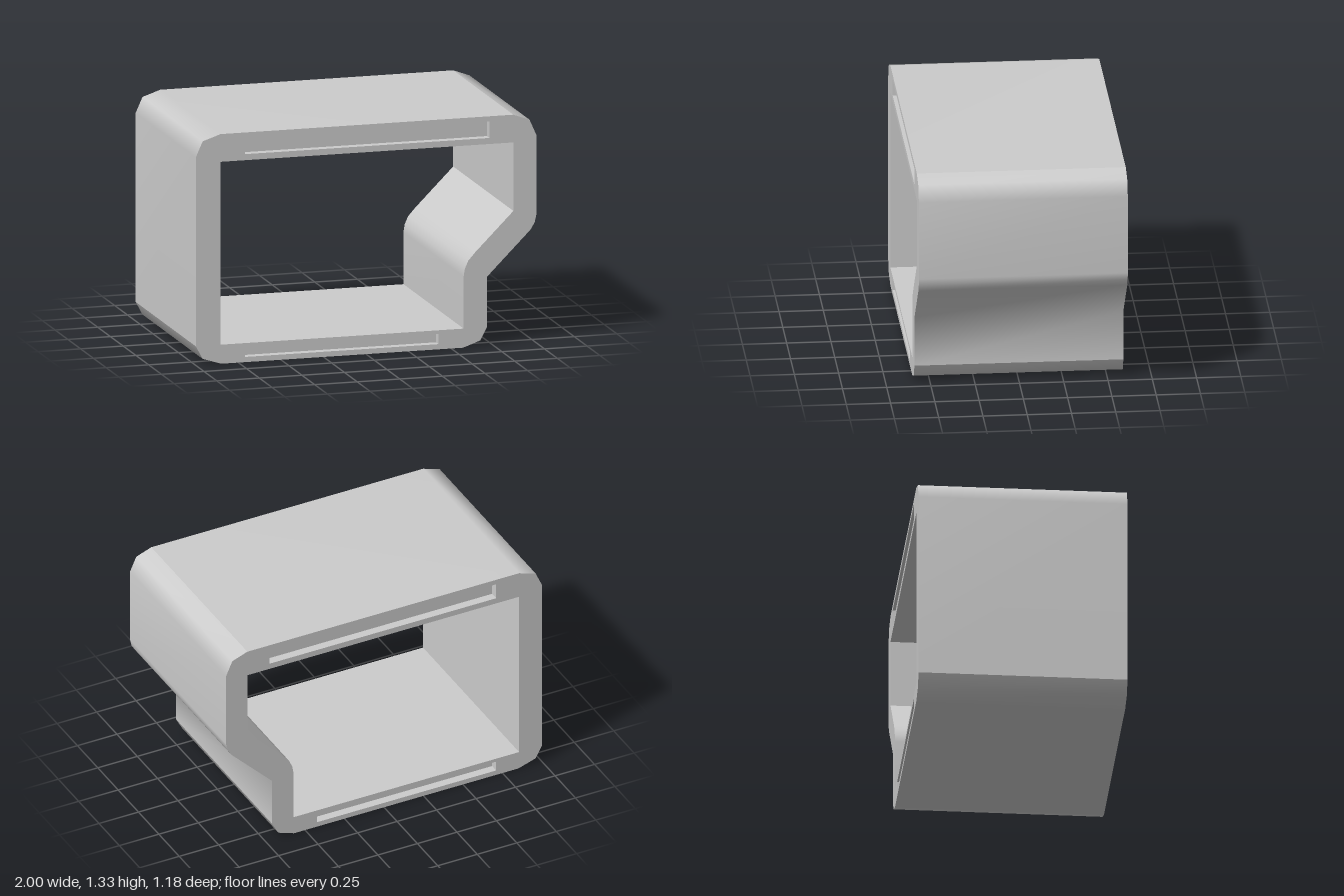
import * as THREE from 'three';
import { mergeGeometries } from 'three/addons/utils/BufferGeometryUtils.js';

const HALF = 0.59;        // half depth of the sleeve
const FLOOR = 0.54;       // z of the slot floors

// Outer outline, counter-clockwise, cut into runs that are shaded smoothly
const outerRuns = [
  [[-0.85, 0], [0.57, 0]],
  [[0.57, 0], [0.67, 0.035], [0.71, 0.11]],
  [[0.71, 0.11], [0.71, 0.4], [0.965, 0.655], [0.99, 0.695], [1, 0.74], [1, 1.2], [0.96, 1.29], [0.865, 1.325]],
  [[0.865, 1.325], [-0.855, 1.325], [-0.96, 1.29], [-1, 1.2], [-1, 0.11]],
  [[-1, 0.11], [-0.96, 0.035], [-0.85, 0]],
];

// Opening outline, clockwise so its walls face inwards
const innerRuns = [
  [[-0.855, 0.11], [-0.855, 1.165]],
  [[-0.855, 1.165], [0.865, 1.165]],
  [[0.865, 1.165], [0.865, 0.77]],
  [[0.865, 0.77], [0.64, 0.545], [0.6, 0.5], [0.58, 0.455], [0.573, 0.41], [0.573, 0.11]],
  [[0.573, 0.11], [-0.855, 0.11]],
];

// Clockwise rectangle as four separate flat runs
function rectRuns(x0, y0, x1, y1) {
  const c = [[x0, y0], [x0, y1], [x1, y1], [x1, y0]];
  return c.map((p, i) => [p, c[(i + 1) % 4]]);
}

const slots = [rectRuns(-0.71, 1.2, 0.725, 1.295), rectRuns(-0.71, 0.03, 0.425, 0.09)];

// Closed list of points from a set of runs
const outline = runs => runs.flatMap(r => r.slice(0, -1)).map(p => new THREE.Vector2(...p));

// Walls along the runs between zFront and zBack
function walls(runs, zFront, zBack) {
  return mergeGeometries(runs.map(run => {
    const position = [], index = [];
    run.forEach(([x, y], i) => {
      position.push(x, y, zFront, x, y, zBack);
      const k = 2 * i;
      if (i < run.length - 1) index.push(k, k + 1, k + 3, k, k + 3, k + 2);
    });
    const g = new THREE.BufferGeometry();
    g.setAttribute('position', new THREE.Float32BufferAttribute(position, 3));
    g.setIndex(index);
    g.computeVertexNormals();
    return g;
  }));
}

// Flat face at depth z, turned to face away from the middle
function face(runs, holes, z) {
  const shape = new THREE.Shape(outline(runs));
  shape.holes = holes.map(h => new THREE.Path(outline(h)));
  const g = new THREE.ShapeGeometry(shape).translate(0, 0, z);
  if (z < 0) g.setIndex(Array.from(g.index.array).reverse());
  g.computeVertexNormals();
  return g;
}

export function createModel() {
  const model = new THREE.Group();
  model.name = 'sleeve';
  const material = new THREE.MeshStandardMaterial({ color: 0xcccccc });
  const add = (name, geometry) => {
    const mesh = new THREE.Mesh(geometry, material);
    mesh.name = name;
    model.add(mesh);
  };

  add('outerShell', walls(outerRuns, HALF, -HALF));
  add('innerOpening', walls(innerRuns, HALF, -HALF));

  // End rims with a shallow slot at top and bottom
  for (const [end, s] of [['front', 1], ['back', -1]]) {
    add(end + 'Rim', face(outerRuns, [innerRuns, ...slots], s * HALF));
    slots.forEach((slot, i) => {
      const name = end + (i ? 'LowerSlot' : 'UpperSlot');
      const depths = [s * HALF, s * FLOOR];
      add(name + 'Walls', walls(slot, Math.max(...depths), Math.min(...depths)));
      add(name + 'Floor', face(slot, [], s * FLOOR));
    });
  }
  return model;
}
